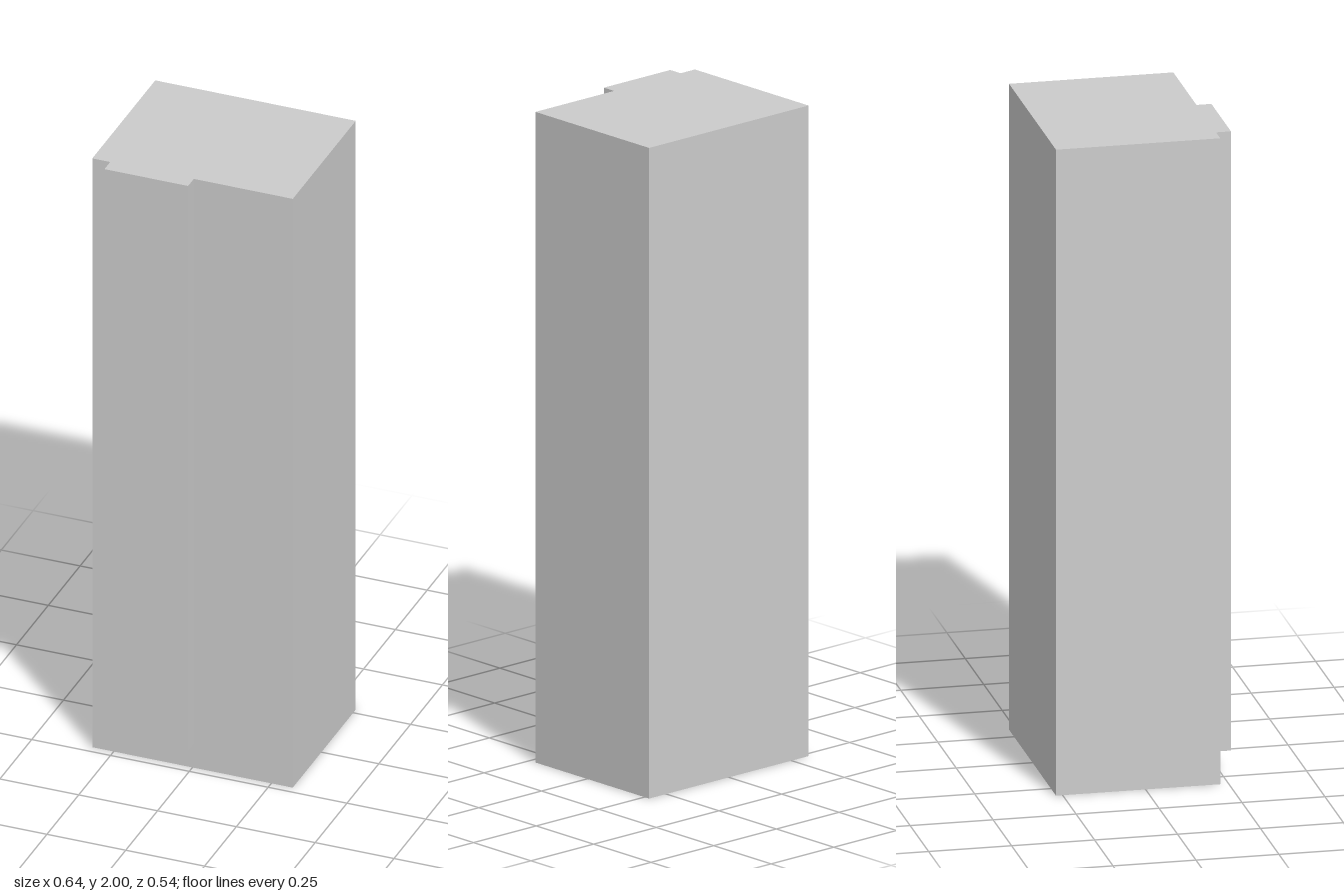
import * as THREE from 'three';

const material = new THREE.MeshStandardMaterial({ color: 0xcccccc, flatShading: true });

// Box given by its minimum and maximum corners
function block(name, [x0, y0, z0], [x1, y1, z1]) {
  const mesh = new THREE.Mesh(new THREE.BoxGeometry(x1 - x0, y1 - y0, z1 - z0), material);
  mesh.position.set((x0 + x1) / 2, (y0 + y1) / 2, (z0 + z1) / 2);
  mesh.name = name;
  return mesh;
}

export function createModel() {
  const group = new THREE.Group();
  group.name = 'tower';
  // Main rectangular volume
  group.add(block('mainBody', [-0.318, 0, -0.27], [0.318, 2, 0.225]));
  // Shallow off-centre bay on the front, raised off the ground and flush with the top
  group.add(block('frontBay', [-0.261, 0.083, 0.225], [0.004, 2, 0.27]));
  return group;
}
